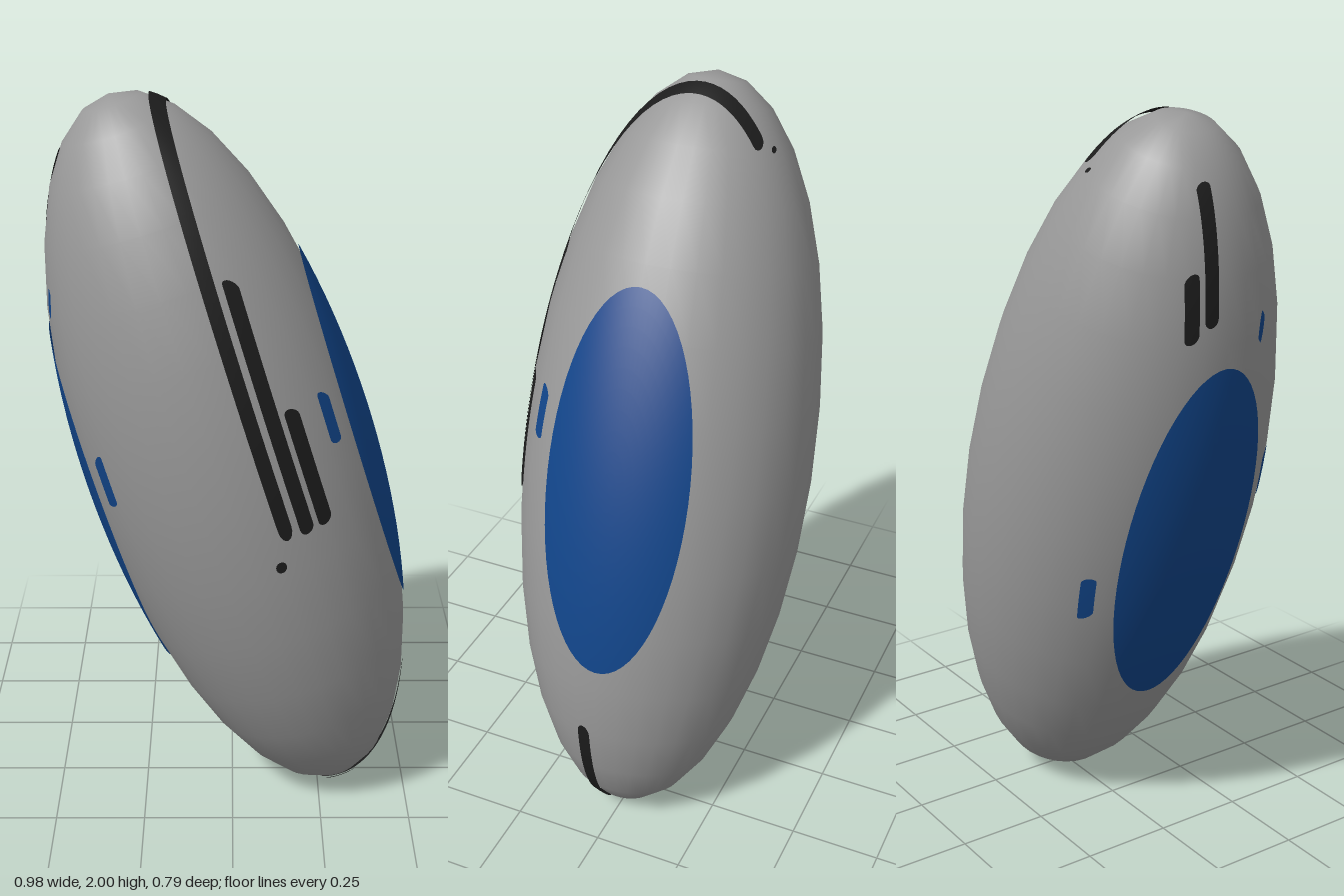
import * as THREE from 'three';

const A = 0.395; // short half-axis
const B = 1.04;  // long half-axis
const SKIN = 1.005; // painted details sit just above the shell

const shellGrey = new THREE.MeshStandardMaterial({ color: 0x999999 });
shellGrey.name = 'shellGrey';
const padBlue = new THREE.MeshStandardMaterial({ color: 0x11458a, side: THREE.DoubleSide });
padBlue.name = 'padBlue';
const lineBlack = new THREE.MeshStandardMaterial({ color: 0x1c1c1c, side: THREE.DoubleSide });
lineBlack.name = 'lineBlack';

function part(name, geometry, material) {
  const mesh = new THREE.Mesh(geometry, material);
  mesh.name = name;
  return mesh;
}

// Round-ended ribbon on the unit sphere, in the plane axis = offset.
// from and to are [across, height] on the ellipsoid, halfWidth is in model units.
function stripe(axis, offset, from, to, halfWidth) {
  const angle = ([across, height]) => Math.atan2(height / B, across / A);
  const t0 = angle(from), t1 = angle(to);
  const steps = 48;
  const span = Math.hypot(from[0] - to[0], from[1] - to[1]);
  const cap = Math.min(0.5, halfWidth / span);
  const pos = [], index = [];
  for (let i = 0; i <= steps; i++) {
    // cosine spacing gathers rows at the rounded ends
    const f = (1 - Math.cos(Math.PI * i / steps)) / 2;
    const e = Math.min(1, Math.min(f, 1 - f) / cap);
    const w = halfWidth * Math.sqrt(Math.max(0, 1 - (1 - e) ** 2));
    const t = t0 + (t1 - t0) * f;
    for (const side of [-1, 0, 1]) {
      const s = (offset + side * w) / A;
      const r = Math.sqrt(1 - s * s);
      const across = r * Math.cos(t), y = r * Math.sin(t);
      const p = axis === 'x' ? [s, y, across] : [across, y, s];
      pos.push(...p.map(v => v * SKIN));
    }
    if (i < steps) {
      for (let k = 0; k < 2; k++) {
        const a = i * 3 + k;
        index.push(a, a + 1, a + 3, a + 1, a + 4, a + 3);
      }
    }
  }
  const g = new THREE.BufferGeometry();
  g.setAttribute('position', new THREE.Float32BufferAttribute(pos, 3));
  g.setIndex(index);
  g.computeVertexNormals();
  return g;
}

export function createModel() {
  const model = new THREE.Group();
  model.name = 'model';

  // Everything is built on a unit sphere, then stretched and tilted
  const capsule = new THREE.Group();
  capsule.name = 'tiltedBody';
  capsule.position.y = 1;
  capsule.rotation.z = THREE.MathUtils.degToRad(17.4);
  capsule.scale.set(A, B, A);
  model.add(capsule);

  capsule.add(part('shell', new THREE.SphereGeometry(1, 32, 16), shellGrey));

  // Oval pads on both sides
  for (const side of [1, -1]) {
    const pad = new THREE.SphereGeometry(SKIN, 64, 10, 0, Math.PI * 2, 0, Math.PI / 6);
    pad.rotateZ(-side * Math.PI / 2);
    capsule.add(part(side > 0 ? 'leftPad' : 'rightPad', pad, padBlue));
  }

  // Painted lines: name, axis, offset, start, end, half width, material
  const lines = [
    ['longLine', 'x', 0.115, [0.376, -0.105], [-0.185, 0.885], 0.018, lineBlack],
    ['middleLine', 'x', 0.168, [0.355, -0.11], [0.295, 0.585], 0.018, lineBlack],
    ['shortLine', 'x', 0.217, [0.33, -0.11], [0.32, 0.215], 0.018, lineBlack],
    ['frontDot', 'x', 0.077, [0.38, -0.185], [0.382, -0.155], 0.014, lineBlack],
    ['backDot', 'x', 0.077, [-0.208, 0.87], [-0.2, 0.885], 0.01, lineBlack],
    ['upperSideLine', 'z', -0.05, [-0.165, 0.935], [-0.315, 0.63], 0.018, lineBlack],
    ['upperSideMark', 'z', -0.1, [-0.255, 0.74], [-0.308, 0.58], 0.018, lineBlack],
    ['lowerSideLine', 'z', 0.04, [-0.05, -1.03], [0.285, -0.715], 0.018, lineBlack],
    ['lowerSideMark', 'z', 0.09, [-0.03, -1.0], [0.06, -1.0], 0.016, lineBlack],
    ['leftFrontTick', 'x', 0.3, [0.25, 0.065], [0.25, 0.21], 0.013, padBlue],
    ['rightFrontTick', 'x', -0.3, [0.25, 0.065], [0.25, 0.21], 0.013, padBlue],
    ['rightBackTick', 'x', -0.3, [-0.25, -0.085], [-0.25, -0.225], 0.013, padBlue],
    ['rightUpperTick', 'x', -0.3, [0.125, 0.57], [0.115, 0.62], 0.012, padBlue],
  ];
  for (const [name, axis, offset, from, to, half, material] of lines) {
    capsule.add(part(name, stripe(axis, offset, from, to, half), material));
  }
  return model;
}
